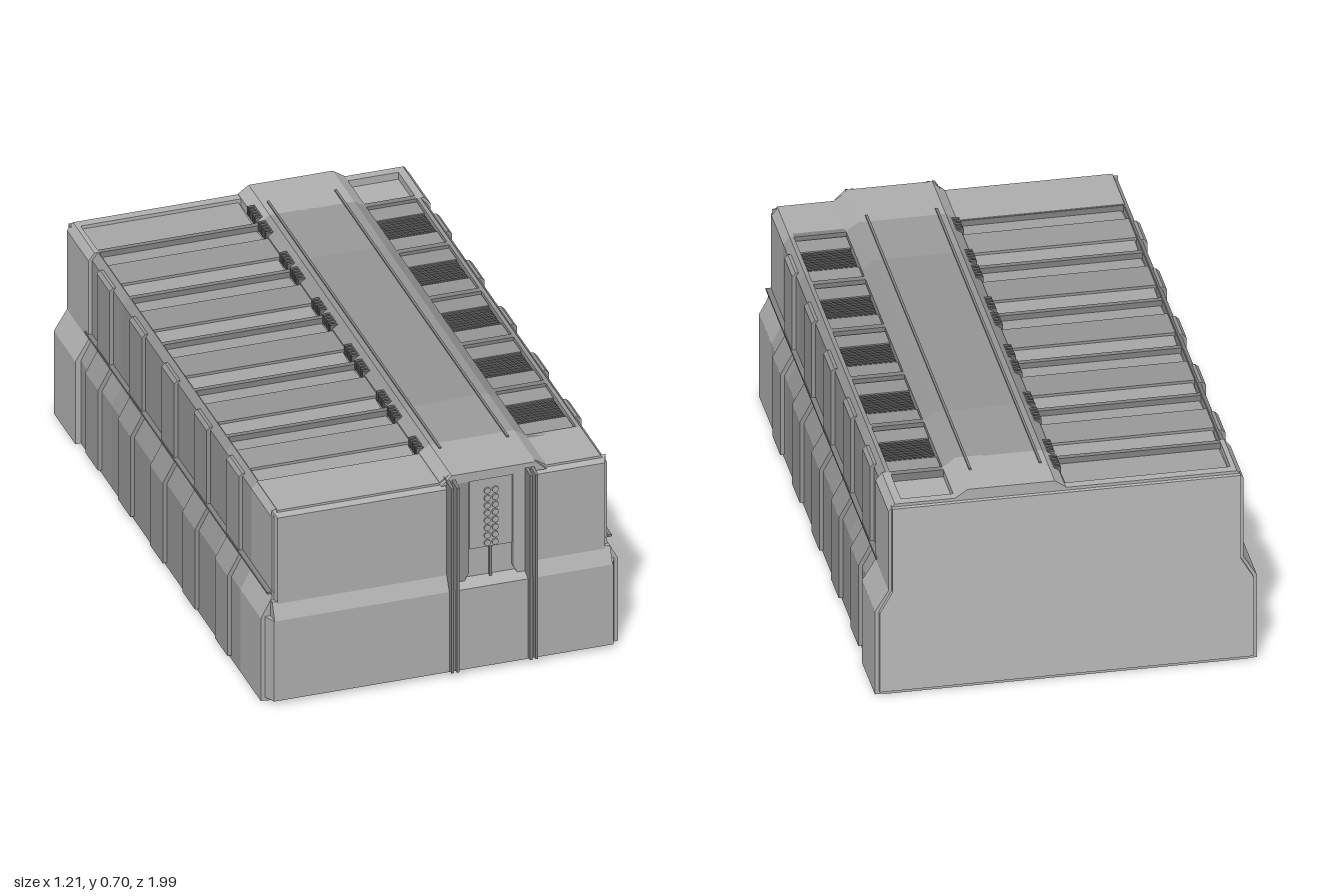
import * as THREE from 'three';

// Greys of the paintwork
const FRONT = 0xadadad, MID = 0x949494, CAP = 0xb0b0b0, REAR = 0xbababa;
const SLOPE = 0xa4a4a4, RIB = 0x828282, DARK = 0x707070;
// Body bands along z: the middle is darker than the ends
const BANDS = [[-0.78, -0.48, 0x999999], [-0.48, 0.5, MID], [0.5, 0.745, 0x9b9b9b], [0.745, 0.94, FRONT]];
const tone = (z) => BANDS.find(([, z1]) => z <= z1)[2];

const materials = new Map();
const paint = (color) => {
  if (!materials.has(color)) materials.set(color, new THREE.MeshStandardMaterial({ color, flatShading: true }));
  return materials.get(color);
};

export function createModel() {
  const root = new THREE.Group();
  root.name = 'containerBlock';

  const add = (geo, name, color, parent = root) => {
    const m = new THREE.Mesh(geo, paint(color));
    m.name = name;
    parent.add(m);
    return m;
  };
  const group = (name) => {
    const g = new THREE.Group();
    g.name = name;
    root.add(g);
    return g;
  };
  const box = (x0, x1, y0, y1, z0, z1, name, color, parent) => {
    const g = new THREE.BoxGeometry(x1 - x0, y1 - y0, z1 - z0);
    g.translate((x0 + x1) / 2, (y0 + y1) / 2, (z0 + z1) / 2);
    return add(g, name, color, parent);
  };
  const shapeOf = (pts) => new THREE.Shape(pts.map(([a, b]) => new THREE.Vector2(a, b)));
  // Cross-section in x,y swept along z
  const sweepZ = (pts, z0, z1, name, color, parent) => {
    const g = new THREE.ExtrudeGeometry(shapeOf(pts), { depth: z1 - z0, bevelEnabled: false });
    g.translate(0, 0, z0);
    return add(g, name, color, parent);
  };
  // Profile in z,y swept along x
  const sweepX = (pts, x0, x1, name, color, parent) => {
    const g = new THREE.ExtrudeGeometry(shapeOf(pts), { depth: x1 - x0, bevelEnabled: false });
    g.rotateY(-Math.PI / 2);
    g.translate(x1, 0, 0);
    return add(g, name, color, parent);
  };
  // Front plate whose outer face is inset on each edge: left, right, bottom, top
  const plate = (x0, x1, y0, y1, z0, z1, [l, r, b, t], name, color, parent) => {
    const mesh = box(x0, x1, y0, y1, z0, z1, name, color, parent);
    const p = mesh.geometry.attributes.position;
    const cx = (x0 + x1) / 2, cy = (y0 + y1) / 2, cz = (z0 + z1) / 2;
    for (let i = 0; i < p.count; i++) {
      if (p.getZ(i) < cz) continue;
      p.setX(i, p.getX(i) + (p.getX(i) < cx ? l : -r));
      p.setY(i, p.getY(i) + (p.getY(i) < cy ? b : -t));
    }
    mesh.geometry.computeVertexNormals();
  };

  // Body section: lower half-width w, upper half-width u, sunken roof bays either side of the spine
  const section = (w, u) => [
    [-w, 0.002], [w, 0.002], [w, 0.295], [u, 0.365], [u, 0.645], [u - 0.02, 0.67], [0.515, 0.67],
    [0.515, 0.645], [0.35, 0.645], [0.35, 0.67], [0.31, 0.697], [0.035, 0.697], [0, 0.672],
    [0, 0.645], [-0.525, 0.645], [-0.525, 0.67], [-u + 0.02, 0.67], [-u, 0.645], [-u, 0.365], [-w, 0.295],
  ];
  for (const [z0, z1, color] of BANDS) {
    sweepZ(section(0.585, 0.548), z0, z1, 'mainBody', color);
    box(-0.57, 0.57, 0, 0.012, z0, z1, 'basePlate', color);
  }
  sweepZ(section(0.603, 0.56), -0.98, -0.775, 'rearCap', CAP);
  box(-0.575, 0.575, 0, 0.012, -0.98, -0.78, 'rearBasePlate', CAP);
  sweepZ([[-0.59, 0.015], [0.59, 0.015], [0.59, 0.295], [0.55, 0.365], [0.55, 0.66], [-0.55, 0.66],
    [-0.55, 0.365], [-0.59, 0.295]], -0.994, -0.97, 'rearPanel', REAR);

  // Roof end strips that close the sunken bays
  const ends = group('roofEnds');
  for (const [x0, x1] of [[-0.53, 0.005], [0.345, 0.52]]) {
    box(x0, x1, 0.64, 0.67, -0.98, -0.95, 'rearRoofStrip', CAP, ends);
    box(x0, x1, 0.64, 0.67, 0.745, 0.94, 'frontRoofStrip', FRONT, ends);
  }

  // Left roof: flat decks with lighter slopes running down to each cross rib
  const decks = group('leftRoof');
  const ribZ = [0, 1, 2, 3, 4, 5].map((i) => -0.785 + i * 0.307);
  ribZ.forEach((z, i) => {
    const back = i === 0 ? z + 0.165 : z;
    const reach = i === 0 ? 0.165 : 0.092;
    sweepX([[z, 0.64], [z, 0.648], [z - reach, 0.658], [z - reach, 0.64]], -0.52, -0.008, 'roofSlope', SLOPE, decks);
    if (i < 5) {
      sweepX([[z, 0.64], [z + 0.092, 0.64], [z + 0.092, 0.658], [z, 0.648]], -0.52, -0.008, 'roofSlope', SLOPE, decks);
      box(-0.525, 0, 0.64, 0.667, z + 0.092, z + 0.215, 'roofDeck', tone(z + 0.15), decks);
    }
    box(-0.525, 0.012, 0.64, 0.668, z - 0.009, z + 0.009, 'roofRib', RIB, decks);
    // Small louvres on the bevel beside the spine
    for (let k = -5; k <= 5; k++) {
      if (k === 0 || (back > 0.7 && k > 0)) continue;
      const c = z + k * 0.017;
      box(-0.006, 0.034, 0.655, 0.685, c - 0.005, c + 0.005, 'spineLouvre', DARK, decks);
    }
  });

  // Right roof: framed bays with a louvred vent in each
  const vents = group('rightRoof');
  ribZ.forEach((z, i) => {
    box(0.35, 0.515, 0.64, 0.67, z - 0.011, z + 0.011, 'ventRib', RIB, vents);
    if (i === 5) return;
    const c = z + 0.15;
    for (const s of [-1, 1]) {
      const e = c + s * 0.098;
      box(0.352, 0.513, 0.64, 0.661, e - 0.037, e + 0.037, 'ventSurround', tone(c), vents);
    }
    for (let k = 0; k < 8; k++) {
      const v = c - 0.052 + k * 0.015;
      sweepX([[v - 0.005, 0.642], [v + 0.006, 0.642], [v + 0.002, 0.66], [v - 0.005, 0.66]],
        0.355, 0.51, 'ventLouvre', DARK, vents);
    }
  });

  // Raised seams along the spine
  for (const x of [0.057, 0.278]) box(x - 0.004, x + 0.004, 0.69, 0.701, -0.86, 0.78, 'spineSeam', RIB);

  // Raised side panels following the wall, and the lip above the shoulder
  const sides = group('sidePanels');
  for (const s of [-1, 1]) {
    const pts = [[0.57, 0.015], [0.598, 0.015], [0.598, 0.3], [0.561, 0.368],
      [0.561, 0.645], [0.55, 0.655], [0.53, 0.655], [0.53, 0.37]].map(([x, y]) => [s * x, y]);
    for (let i = 0; i < 5; i++) {
      const c = -0.632 + i * 0.308;
      sweepZ(pts, c - 0.06, c + 0.06, 'sidePanel', tone(c), sides);
    }
    box(s * 0.552 - 0.012, s * 0.552 + 0.012, 0.377, 0.384, -0.8, 0.94, 'shoulderLip', RIB, sides);
  }

  // Front wall: lower plates with sloped ledges, upper plates set back
  const front = group('frontWall');
  plate(-0.575, 0.035, 0.012, 0.3, 0.93, 0.98, [0.02, 0, 0.004, 0], 'lowerLeftPlate', FRONT, front);
  plate(0.295, 0.575, 0.012, 0.3, 0.93, 0.98, [0, 0.02, 0.004, 0], 'lowerRightPlate', FRONT, front);
  const ledge = [[0.93, 0.29], [0.98, 0.3], [0.955, 0.355], [0.93, 0.355]];
  sweepX(ledge, -0.553, 0.035, 'leftLedge', FRONT, front);
  sweepX(ledge, 0.295, 0.553, 'rightLedge', FRONT, front);
  plate(-0.546, 0.04, 0.3, 0.668, 0.93, 0.958, [0.01, 0, 0, 0.015], 'upperLeftPlate', FRONT, front);
  plate(0.29, 0.546, 0.3, 0.668, 0.93, 0.958, [0, 0.01, 0, 0.015], 'upperRightPlate', FRONT, front);
  plate(0.035, 0.295, 0.012, 0.325, 0.93, 0.98, [0, 0, 0.004, 0.025], 'lowerCentrePlate', FRONT, front);
  sweepZ([[0, 0.665], [0.345, 0.665], [0.31, 0.697], [0.035, 0.697]], 0.93, 0.955, 'centreHeader', FRONT, front);

  // Vertical bars on either side of the central channel, each a pair of fins
  for (const c of [0.032, 0.29]) {
    for (const o of [-0.009, 0.009]) {
      plate(c + o - 0.007, c + o + 0.007, 0.02, 0.685, 0.93, 0.998, [0.003, 0.003, 0, 0.01], 'channelFin', RIB, front);
    }
  }

  // Central channel: slanted cheeks, inset panel, two columns of round studs
  const cheek = [[0.045, 0.3], [0.07, 0.3], [0.092, 0.34], [0.092, 0.67], [0.045, 0.67]];
  sweepZ(cheek, 0.93, 0.952, 'rightCheek', 0x909090, front);
  sweepZ(cheek.map(([x, y]) => [0.328 - x, y]), 0.93, 0.952, 'leftCheek', FRONT, front);
  box(0.096, 0.234, 0.42, 0.662, 0.93, 0.947, 'studPanel', FRONT, front);
  box(0.16, 0.168, 0.3, 0.42, 0.93, 0.949, 'channelSeam', RIB, front);
  for (let r = 0; r < 8; r++) {
    for (const x of [0.153, 0.179]) {
      const g = new THREE.CylinderGeometry(0.011, 0.011, 0.01, 8);
      g.rotateX(Math.PI / 2);
      g.translate(x, 0.435 + r * 0.0265, 0.948);
      add(g, 'stud', FRONT, front);
    }
  }

  return root;
}
